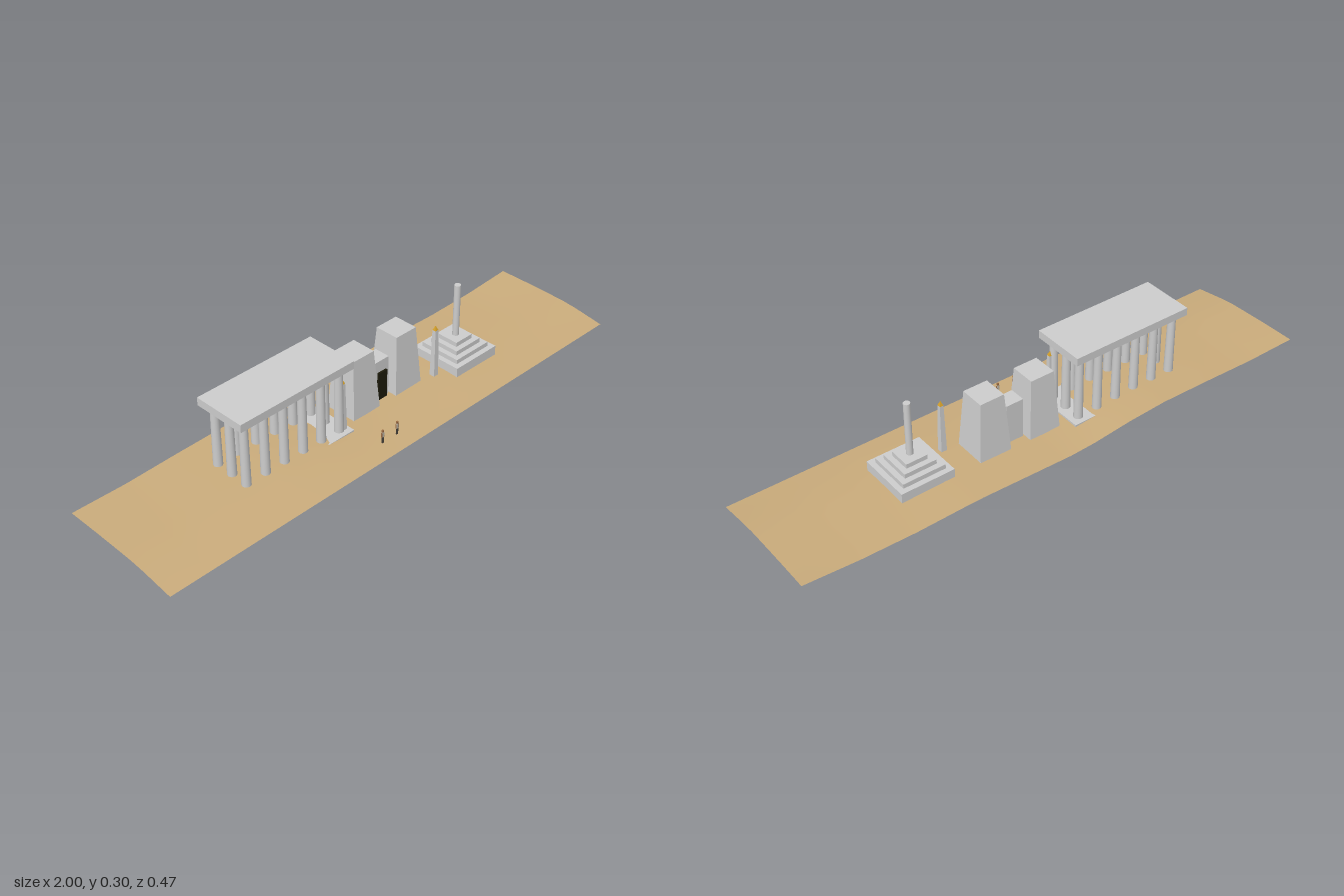
import * as THREE from 'three';

const mat = (name, color, extra = {}) => {
  const m = new THREE.MeshStandardMaterial({ color, ...extra });
  m.name = name;
  return m;
};

// Linear interpolation in a list of [position, value] pairs
function sample(table, p) {
  for (let i = 1; i < table.length; i++) {
    const [a, va] = table[i - 1], [b, vb] = table[i];
    if (p <= b) return THREE.MathUtils.mapLinear(p, a, b, va, vb);
  }
  return table[table.length - 1][1];
}

// Square tapered block standing on y = 0, with hard edges
function frustum(bottom, top, height) {
  const g = new THREE.CylinderGeometry(top * Math.SQRT1_2, bottom * Math.SQRT1_2, height, 4)
    .rotateY(Math.PI / 4).translate(0, height / 2, 0).toNonIndexed();
  g.computeVertexNormals();
  return g;
}

// Box standing on y = 0
const block = (w, h, d) => new THREE.BoxGeometry(w, h, d).translate(0, h / 2, 0);

function add(parent, name, geometry, material, x = 0, y = 0, z = 0) {
  const mesh = new THREE.Mesh(geometry, material);
  mesh.name = name;
  mesh.position.set(x, y, z);
  parent.add(mesh);
  return mesh;
}

function group(parent, name, x = 0, y = 0, z = 0) {
  const g = new THREE.Group();
  g.name = name;
  g.position.set(x, y, z);
  parent.add(g);
  return g;
}

export function createModel() {
  const model = new THREE.Group();
  model.name = 'desertTemple';
  const stone = mat('stone', 0xcccccc);
  const sand = mat('sand', 0xc9ab7b, { side: THREE.DoubleSide });
  const gold = mat('gold', 0xd4a02a);
  const dark = mat('doorway', 0x1c1a0a);
  const skin = mat('skin', 0x9a6b42);
  const cloth = mat('cloth', 0xbcb5a5);
  const trousers = mat('trousers', 0x454038);

  // Dune: low and high limits across z, blended by a wave along x
  const low = [[-0.235, 0.005], [-0.1, 0.01], [0, 0.013], [0.1, 0.012], [0.235, 0]];
  const high = [[-0.235, 0.035], [-0.1, 0.033], [0.08, 0.026], [0.235, 0]];
  const wave = [[-1, 0.85], [-0.8, 0.72], [-0.6, 0.9], [-0.4, 1], [-0.25, 0.7], [-0.1, 0.15],
    [0, 0], [0.2, 0.2], [0.37, 0.38], [0.6, 0.2], [0.8, 0.35], [1, 0.8]];
  const dune = new THREE.PlaneGeometry(2, 0.465, 40, 8).rotateX(-Math.PI / 2);
  const p = dune.attributes.position;
  for (let i = 0; i < p.count; i++) {
    const x = p.getX(i), z = p.getZ(i);
    p.setY(i, THREE.MathUtils.lerp(sample(low, z), sample(high, z), sample(wave, x)));
  }
  dune.computeVertexNormals();
  add(model, 'ground', dune, sand);

  // Colonnade: platform, ring of columns, flat roof
  const hall = group(model, 'colonnade', -0.335, 0, -0.034);
  add(hall, 'platform', block(0.474, 0.02, 0.2), stone);
  add(hall, 'roof', block(0.474, 0.029, 0.2), stone, 0, 0.262);
  const shaft = new THREE.CylinderGeometry(0.0142, 0.0165, 0.242, 16).translate(0, 0.121, 0);
  for (let i = 0; i < 6; i++) {
    for (let j = -1; j <= 1; j++) {
      if (j === 0 && i > 0 && i < 5) continue;
      add(hall, 'column', shaft, stone, -0.2 + i * 0.08, 0.02, j * 0.067);
    }
  }

  // Gateway: two battered towers with a doorway block between them
  const gate = group(model, 'gateway', 0.1, 0, -0.034);
  for (const s of [-1, 1]) add(gate, 'tower', frustum(0.124, 0.092, 0.235), stone, s * 0.1);
  add(gate, 'lintelBlock', block(0.067, 0.165, 0.06), stone);
  add(gate, 'door', block(0.04, 0.122, 0.009), dark, 0, 0, 0.033);

  // Gold-tipped obelisks on both sides of the gateway
  for (const s of [-1, 1]) {
    const obelisk = group(model, 'obelisk', 0.1 + s * 0.22, 0, 0.034);
    add(obelisk, 'obeliskShaft', frustum(0.022, 0.014, 0.2), stone);
    add(obelisk, 'obeliskTip', frustum(0.014, 0, 0.017), gold, 0, 0.2);
  }

  // Stepped monument with a pillar
  const monument = group(model, 'steppedMonument', 0.465);
  [[0.2, 0, 0.05], [0.16, 0.05, 0.0167], [0.12, 0.0667, 0.0167], [0.08, 0.0833, 0.0167]]
    .forEach(([w, y, h]) => add(monument, 'step', block(w, h, w), stone, 0, y));
  add(monument, 'pillar', new THREE.CylinderGeometry(0.0118, 0.0118, 0.2, 20), stone, 0, 0.2);

  // Two small standing people
  for (const x of [-0.069, -0.002]) {
    const person = group(model, 'person', x, 0.003, 0.167);
    add(person, 'torso', block(0.008, 0.018, 0.006), cloth, 0, 0.027);
    add(person, 'head', block(0.006, 0.008, 0.006), skin, 0, 0.046);
    for (const s of [-1, 1]) {
      add(person, 'leg', block(0.003, 0.027, 0.004), trousers, s * 0.0022);
      add(person, 'arm', block(0.002, 0.017, 0.004), skin, s * 0.005, 0.027);
    }
  }
  return model;
}
